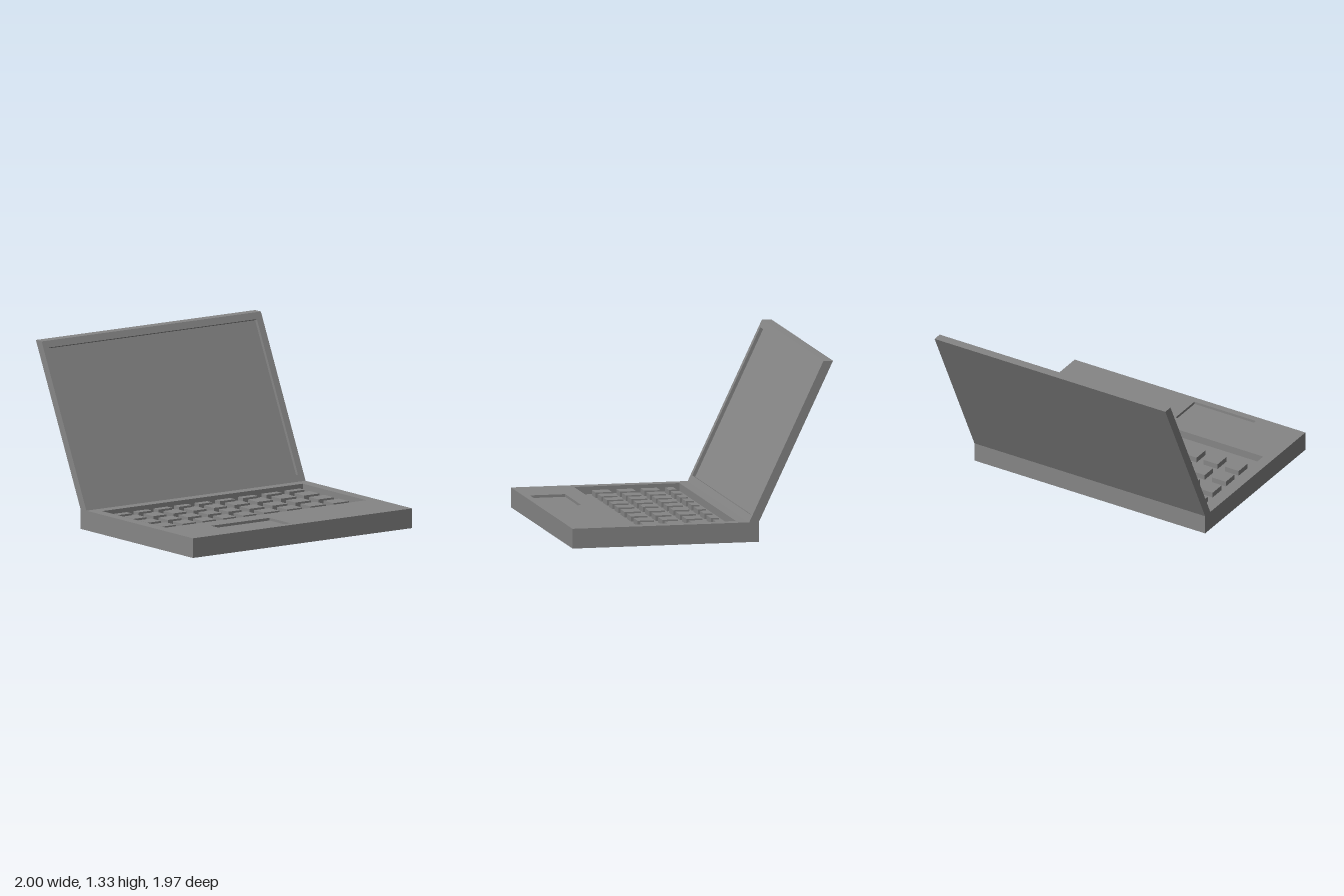
import * as THREE from 'three';

const material = new THREE.MeshStandardMaterial({ color: 0x868686, flatShading: true });

// Rectangle outline, usable as a shape or a hole
function rect(Type, x0, x1, y0, y1) {
  const p = new Type();
  p.moveTo(x0, y0);
  p.lineTo(x1, y0);
  p.lineTo(x1, y1);
  p.lineTo(x0, y1);
  p.closePath();
  return p;
}

function addMesh(parent, name, geometry) {
  const mesh = new THREE.Mesh(geometry, material);
  mesh.name = name;
  parent.add(mesh);
  return mesh;
}

// Box given by its limits on each axis
function addBox(parent, name, [x0, x1], [y0, y1], [z0, z1]) {
  const mesh = addMesh(parent, name, new THREE.BoxGeometry(x1 - x0, y1 - y0, z1 - z0));
  mesh.position.set((x0 + x1) / 2, (y0 + y1) / 2, (z0 + z1) / 2);
}

const DECK = 0.148, KEY_FLOOR = 0.09, KEY_TOP = 0.13, PAD_FLOOR = 0.128;
const BACK = -0.425, FRONT = 0.988;

function createBase() {
  const base = new THREE.Group();
  base.name = 'base';
  addBox(base, 'bottomCase', [-1, 1], [0, KEY_FLOOR], [BACK, FRONT]);

  // Deck plate with openings for keyboard and touchpad (shape y = -z)
  const deck = rect(THREE.Shape, -1, 1, -FRONT, -BACK);
  deck.holes.push(rect(THREE.Path, -0.916, 0.915, -0.53, 0.27));
  deck.holes.push(rect(THREE.Path, -0.602, -0.07, -0.937, -0.67));
  const plate = new THREE.ExtrudeGeometry(deck, { depth: DECK - KEY_FLOOR, bevelEnabled: false });
  plate.rotateX(-Math.PI / 2);
  addMesh(base, 'deck', plate).position.y = KEY_FLOOR;
  addBox(base, 'touchpad', [-0.602, -0.07], [KEY_FLOOR, PAD_FLOOR], [0.67, 0.937]);

  // Keys: column and row limits
  const columns = [[-0.855, -0.735], [-0.672, -0.55], [-0.49, -0.367], [-0.305, -0.185], [-0.12, 0],
    [0.07, 0.21], [0.28, 0.418], [0.493, 0.633], [0.703, 0.843]];
  const rows = [[-0.208, -0.147], [-0.084, 0.038], [0.102, 0.222], [0.284, 0.408]];
  const keys = new THREE.Group();
  keys.name = 'keyboard';
  for (const z of rows) for (const x of columns) addBox(keys, 'key', x, [KEY_FLOOR, KEY_TOP], z);
  base.add(keys);
  return base;
}

function createLid() {
  const lid = new THREE.Group();
  lid.name = 'lid';
  const rise = 1.333 - DECK, run = 0.562;
  const length = Math.hypot(rise, run), slope = run / rise;
  const thickness = 0.073 * rise / length, recess = 0.025;

  // Slab between two depths; its outer ends are skewed to lie level once tilted
  const slab = (shape, back, front) => {
    const g = new THREE.ExtrudeGeometry(shape, { depth: front - back, bevelEnabled: false });
    g.translate(0, 0, back);
    const p = g.attributes.position;
    for (let i = 0; i < p.count; i++) {
      const y = p.getY(i);
      if (y < 0.001 || y > length - 0.001) p.setY(i, y - p.getZ(i) * slope);
    }
    g.computeVertexNormals();
    return g;
  };

  const bezel = rect(THREE.Shape, -1, 1, 0, length);
  const along = (y) => (y - DECK) * length / rise;
  bezel.holes.push(rect(THREE.Path, -0.95, 0.947, along(0.196), along(1.285)));
  addMesh(lid, 'screenBezel', slab(bezel, -recess, 0));
  addMesh(lid, 'screenPanel', slab(rect(THREE.Shape, -1, 1, 0, length), -thickness, -recess));

  lid.position.set(0, DECK, BACK + 0.073);
  lid.rotation.x = -Math.atan(slope);
  return lid;
}

export function createModel() {
  const model = new THREE.Group();
  model.name = 'laptop';
  model.add(createBase(), createLid());
  return model;
}
